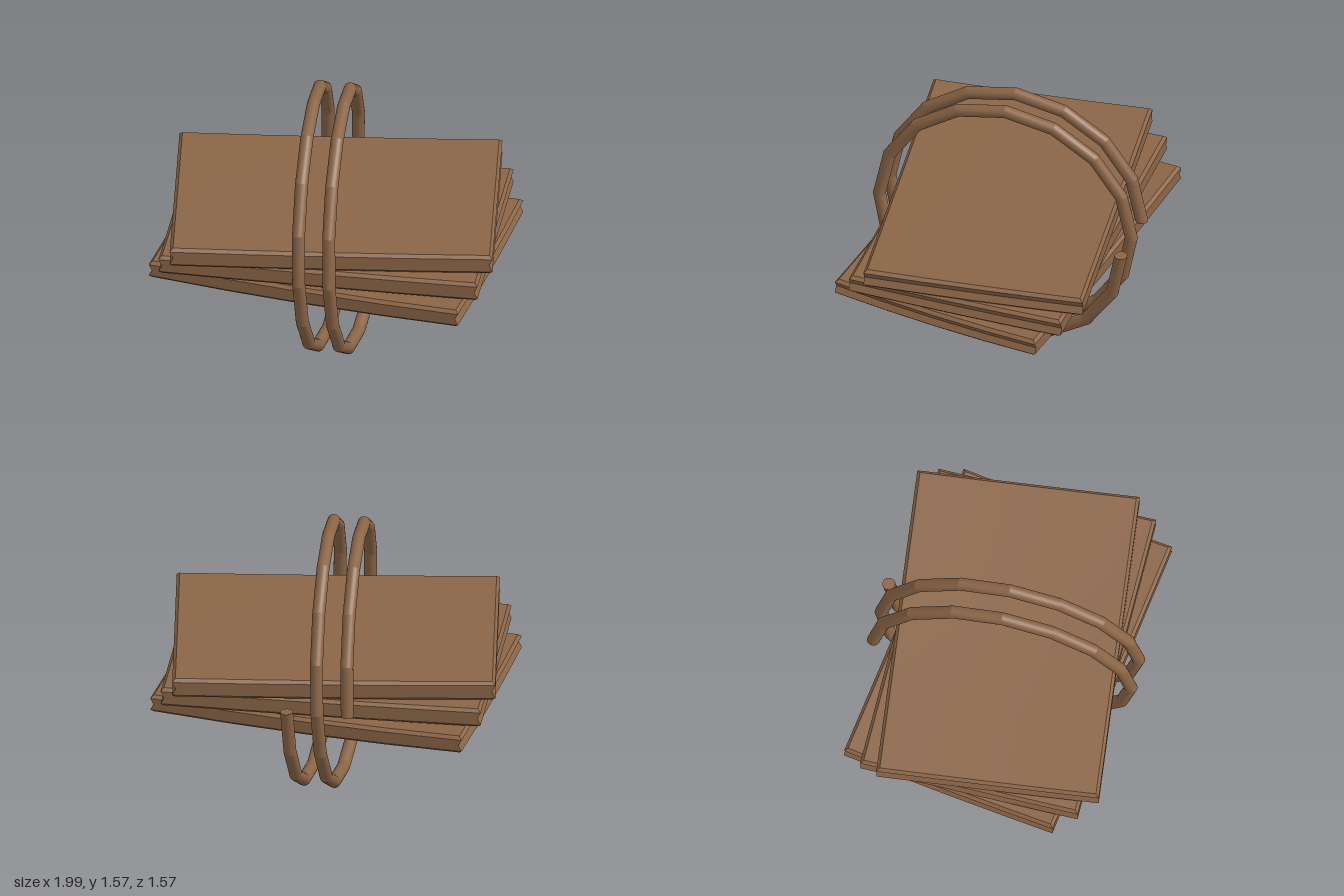
import * as THREE from 'three';
import { toCreasedNormals } from 'three/addons/utils/BufferGeometryUtils.js';

// Two-turn coil along x, starting and ending at the back
class Coil extends THREE.Curve {
  getPoint(t, target = new THREE.Vector3()) {
    const a = t * Math.PI * 4;
    return target.set(-0.175 + 0.35 * t, 0.79 + 0.748 * Math.sin(a), -0.748 * Math.cos(a));
  }
}

// Slab with bevelled rims, a shallow groove round the ends and a slight sag
function slabGeometry(width, height, depth, sag) {
  const bevel = 0.018;
  const levels = [-height / 2, -height / 2 + bevel, 0, height / 2 - bevel, height / 2];
  const insetX = [0.018, 0, 0.02, 0, 0.018];
  const insetZ = [0.018, 0, 0, 0, 0.018];
  const geo = new THREE.BoxGeometry(width, 4, depth, 4, 4, 4);
  const p = geo.attributes.position;
  for (let i = 0; i < p.count; i++) {
    const row = Math.round(p.getY(i) + 2);
    const u = p.getX(i) / (width / 2), v = p.getZ(i) / (depth / 2);
    p.setXYZ(i,
      u * (width / 2 - insetX[row]),
      levels[row] + sag * ((u * u + v * v) / 2 - 0.5),
      v * (depth / 2 - insetZ[row]));
  }
  return toCreasedNormals(geo, 0.35);
}

export function createModel() {
  const group = new THREE.Group();
  const brown = new THREE.MeshStandardMaterial({ color: 0x8b6547 });
  brown.name = 'brown';

  const add = (name, geo) => {
    const mesh = new THREE.Mesh(geo, brown);
    mesh.name = name;
    group.add(mesh);
    return mesh;
  };

  // Three stacked slabs fanned about the vertical axis: name, centre height, thickness, sag, turn
  const slabs = [
    ['bottomSlab', 0.632, 0.108, 0.035, -0.126],
    ['middleSlab', 0.762, 0.115, 0.01, 0.008],
    ['topSlab', 0.882, 0.118, 0.012, 0.126],
  ];
  for (const [name, y, height, sag, turn] of slabs) {
    const slab = add(name, slabGeometry(1.845, height, 1.28, sag));
    slab.position.y = y;
    slab.rotation.y = turn;
  }

  // Coil wrapped round the stack, in straight sections
  const curve = new Coil();
  const radius = 0.037;
  add('coil', toCreasedNormals(new THREE.TubeGeometry(curve, 32, radius, 24, false), 0.3));

  // Flat caps on the two coil ends
  for (const t of [0, 1]) {
    const cap = add(t ? 'coilEndCap' : 'coilStartCap', new THREE.CircleGeometry(radius, 24));
    const dir = curve.getTangent(t).multiplyScalar(t ? 1 : -1);
    cap.position.copy(curve.getPoint(t));
    cap.quaternion.setFromUnitVectors(new THREE.Vector3(0, 0, 1), dir);
  }
  return group;
}
